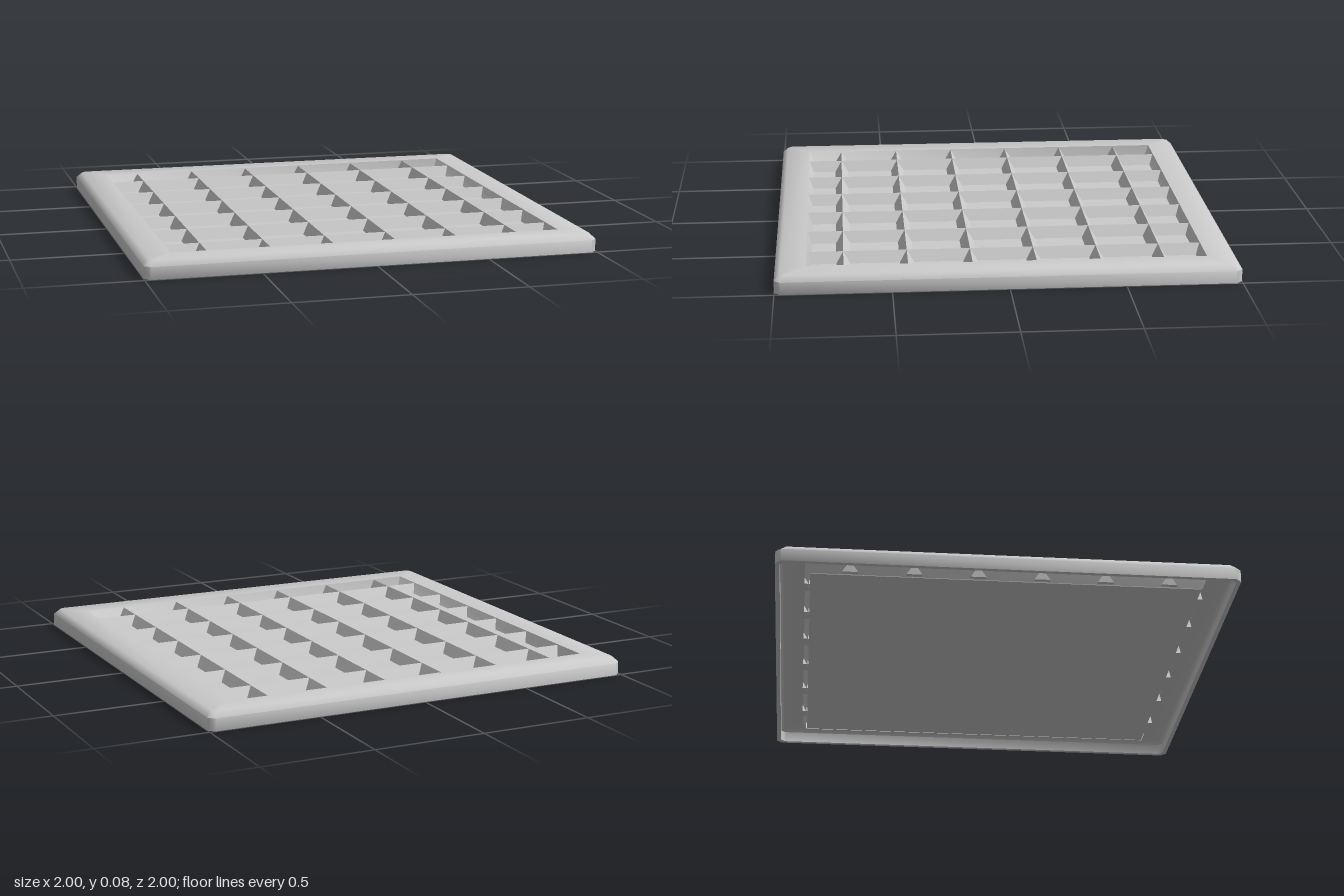
import * as THREE from 'three';
import { toCreasedNormals } from 'three/addons/utils/BufferGeometryUtils.js';

const material = new THREE.MeshStandardMaterial({ color: 0xcccccc, side: THREE.DoubleSide });

// Square ring with cut corners: half size h, corner cut c, height y
function ring([h, y, c]) {
  const a = h - c;
  return [[h, -a], [h, a], [a, h], [-a, h], [-h, a], [-h, -a], [-a, -h], [a, -h]]
    .map(([x, z]) => [x, y, z]);
}

// Skin a list of square rings, each joined to the next
function loftSquares(profile) {
  const positions = [];
  for (let i = 0; i < profile.length - 1; i++) {
    const lower = ring(profile[i]), upper = ring(profile[i + 1]);
    for (let j = 0; j < 8; j++) {
      const k = (j + 1) % 8;
      positions.push(...lower[j], ...upper[j], ...upper[k], ...lower[j], ...upper[k], ...lower[k]);
    }
  }
  const geometry = new THREE.BufferGeometry();
  geometry.setAttribute('position', new THREE.Float32BufferAttribute(positions, 3));
  geometry.computeVertexNormals();
  return toCreasedNormals(geometry, 0.87);
}

function addMesh(parent, name, geometry) {
  const mesh = new THREE.Mesh(geometry, material);
  mesh.name = name;
  parent.add(mesh);
  return mesh;
}

// Ridged bar along z, its triangular section standing on the panel
function barGeometry(length) {
  const section = new THREE.Shape();
  section.moveTo(-0.035, 0.024);
  section.lineTo(0.035, 0.024);
  section.lineTo(0, 0.077);
  section.closePath();
  return new THREE.ExtrudeGeometry(section, { depth: length, bevelEnabled: false, steps: 1 })
    .translate(0, 0, -length / 2);
}

export function createModel() {
  const model = new THREE.Group();
  model.name = 'latticePanel';

  // Hollow frame: inner skin of the basin, rim, bevelled outside, sloped basin wall
  addMesh(model, 'frame', loftSquares([
    [0.855, 0.02, 0.001],
    [0.873, 0.066, 0.001],
    [0.965, 0.066, 0.02],
    [0.98, 0.05, 0.02],
    [0.98, 0, 0.02],
    [1, 0, 0.025],
    [1, 0.055, 0.025],
    [0.975, 0.08, 0.02],
    [0.865, 0.08, 0.001],
    [0.845, 0.03, 0.001],
  ]));

  // Flat panel closing the basin
  addMesh(model, 'panel', new THREE.BoxGeometry(1.7, 0.01, 1.7).translate(0, 0.025, 0));

  // Crossing bars, whose ends pass through the basin wall
  const bars = new THREE.Group();
  bars.name = 'lattice';
  model.add(bars);
  const geometry = barGeometry(1.75);
  const spacing = 0.277;
  for (let i = 0; i < 6; i++) {
    addMesh(bars, 'lengthwiseBar', geometry).position.x = -0.71 + i * spacing;
    const cross = addMesh(bars, 'crosswiseBar', geometry);
    cross.rotation.y = Math.PI / 2;
    cross.position.z = -0.68 + i * spacing;
  }
  return model;
}
